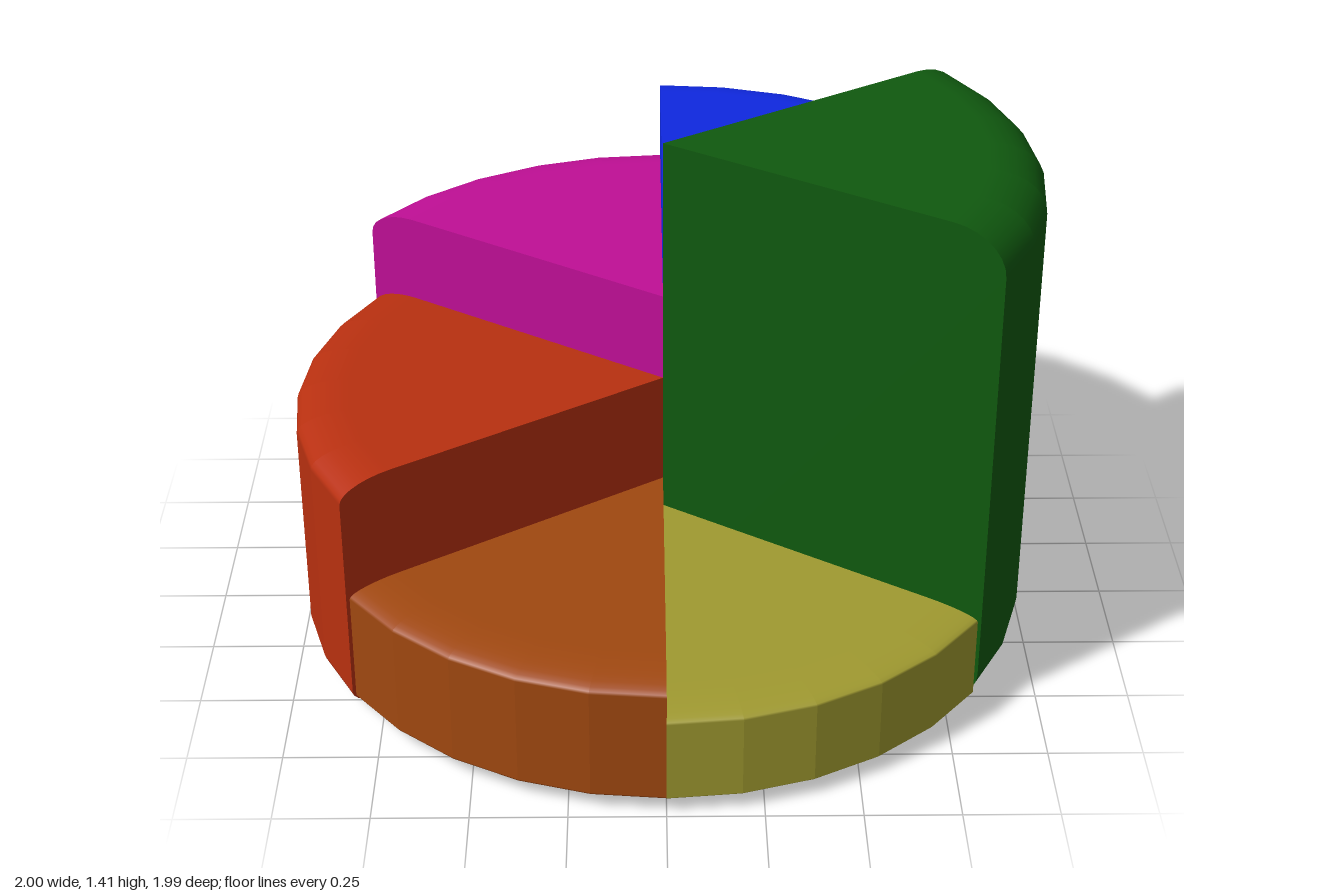
import * as THREE from 'three';

const SEG = Math.PI / 16; // 32 facets make the full circle
const BEVEL_W = 0.15;     // radial width of the rounded rim
const STEPS = 7;

// name, colour name, colour, first facet, facet count, bottom, top
const WEDGES = [
  ['tallestWedge', 'green', 0x10590f, -3, 6, 0, 1.41],
  ['secondWedge', 'blue', 0x0f28e0, 3, 5, 0, 1.19],
  ['thirdWedge', 'magenta', 0xc00f96, 8, 5, 0.005, 0.96],
  ['fourthWedge', 'red', 0xb83010, 13, 6, 0.01, 0.71],
  ['fifthWedge', 'orange', 0xa04810, 19, 5, 0.025, 0.39],
  ['lowestWedge', 'yellow', 0xa09a30, 24, 5, 0.03, 0.3],
];

// Half cross-section from the axis at the bottom, round the rim, to the axis at the top
function wedgeProfile(bottom, top, radius) {
  const h = (top - bottom) * 0.08;
  const pts = [{ r: 0, y: bottom, nr: 0, ny: -1 }];
  for (const side of [-1, 1]) {
    for (let i = 0; i <= STEPS; i++) {
      const t = (side < 0 ? i - STEPS : i) / STEPS * Math.PI / 2;
      const n = new THREE.Vector2(Math.cos(t) / BEVEL_W, Math.sin(t) / h).normalize();
      pts.push({
        r: radius - BEVEL_W + BEVEL_W * Math.cos(t),
        y: (side < 0 ? bottom + h : top - h) + h * Math.sin(t),
        nr: n.x, ny: n.y,
      });
    }
  }
  pts.push({ r: 0, y: top, nr: 0, ny: 1 });
  return pts;
}

function wedgeGeometry(first, count, bottom, top, radius) {
  const profile = wedgeProfile(bottom, top, radius);
  const pos = [], nor = [], index = [];
  const add = (p, a, nx, ny, nz) => {
    pos.push(p.r * Math.cos(a), p.y, -p.r * Math.sin(a));
    nor.push(nx, ny, nz);
    return pos.length / 3 - 1;
  };

  // Facets: flat around the circle, smooth over the rim
  for (let s = first; s < first + count; s++) {
    const mid = (s + 0.5) * SEG;
    const base = pos.length / 3;
    for (const p of profile) {
      for (const a of [s * SEG, (s + 1) * SEG]) {
        add(p, a, p.nr * Math.cos(mid), p.ny, -p.nr * Math.sin(mid));
      }
    }
    for (let k = 0; k < profile.length - 1; k++) {
      const i = base + k * 2;
      index.push(i, i + 1, i + 3, i, i + 3, i + 2);
    }
  }

  // Flat cut faces at both ends
  for (const [a, dir] of [[first * SEG, 1], [(first + count) * SEG, -1]]) {
    const nx = dir * Math.sin(a), nz = dir * Math.cos(a);
    const ids = profile.map((p) => add(p, a, nx, 0, nz));
    for (let k = 1; k < ids.length - 1; k++) {
      if (dir > 0) index.push(ids[0], ids[k], ids[k + 1]);
      else index.push(ids[0], ids[k + 1], ids[k]);
    }
  }

  const geo = new THREE.BufferGeometry();
  geo.setAttribute('position', new THREE.Float32BufferAttribute(pos, 3));
  geo.setAttribute('normal', new THREE.Float32BufferAttribute(nor, 3));
  geo.setIndex(index);
  return geo;
}

export function createModel() {
  const group = new THREE.Group();
  group.name = 'steppedPieChart';
  for (const [name, colourName, color, first, count, bottom, top] of WEDGES) {
    const material = new THREE.MeshStandardMaterial({ color });
    material.name = colourName;
    const radius = first >= 19 ? 0.99 : 1;
    const wedge = new THREE.Mesh(wedgeGeometry(first, count, bottom, top, radius), material);
    wedge.name = name;
    group.add(wedge);
  }
  return group;
}
